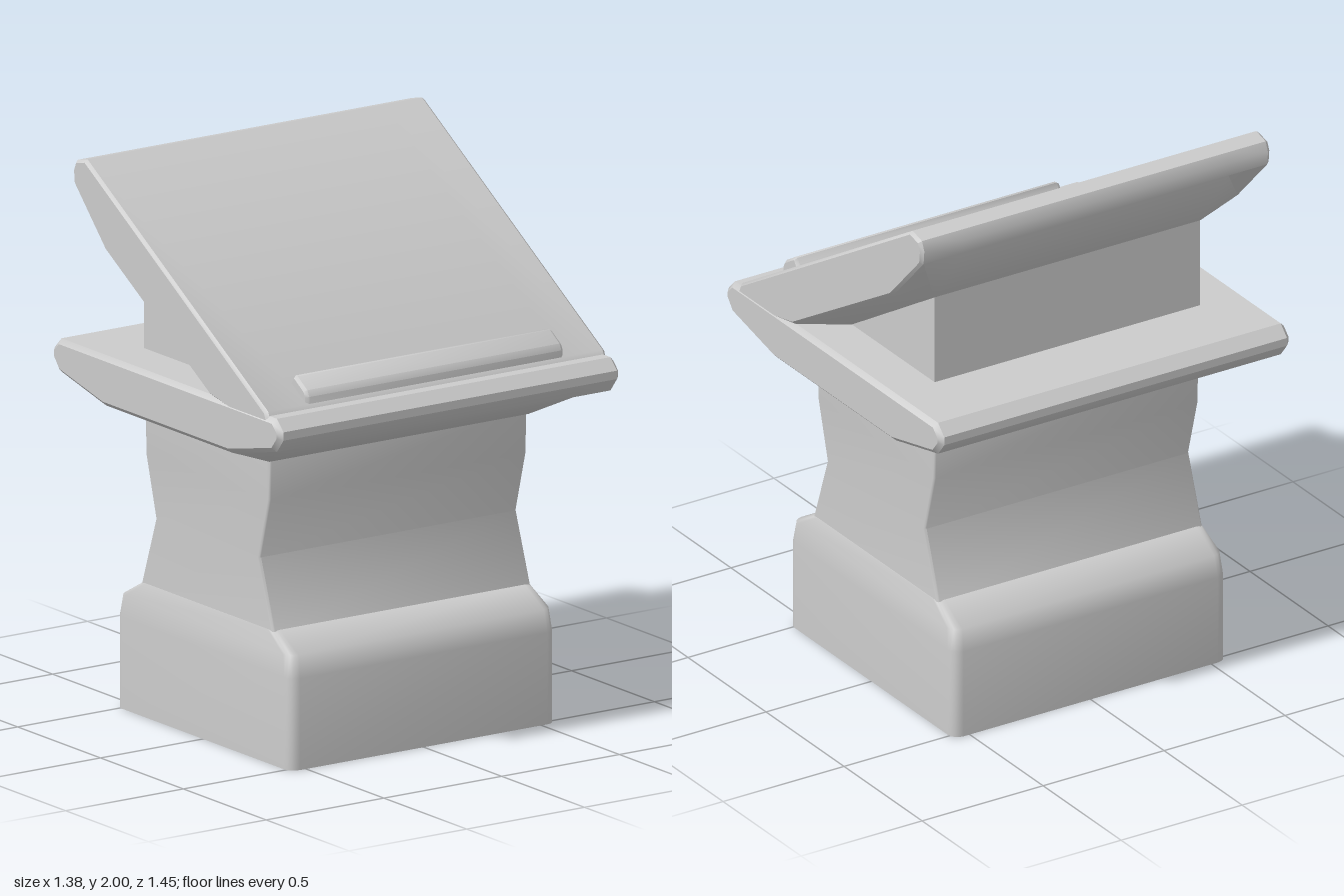
import * as THREE from 'three';
import { toCreasedNormals } from 'three/addons/utils/BufferGeometryUtils.js';

const material = new THREE.MeshStandardMaterial({ color: 0xcccccc });

// Skin a stack of counter-clockwise [x, y] outlines along z, closed by flat caps
function loft(sections) {
  const n = sections[0].points.length, last = sections.length - 1;
  const positions = [], index = [];
  for (const { z, points } of sections) for (const [x, y] of points) positions.push(x, y, z);
  for (let s = 0; s < last; s++) {
    for (let i = 0; i < n; i++) {
      const a = s * n + i, b = s * n + (i + 1) % n;
      index.push(a, b, b + n, a, b + n, a + n);
    }
  }
  for (let i = 1; i < n - 1; i++) {
    index.push(0, i + 1, i, last * n, last * n + i, last * n + i + 1);
  }
  const geometry = new THREE.BufferGeometry();
  geometry.setAttribute('position', new THREE.Float32BufferAttribute(positions, 3));
  geometry.setIndex(index);
  return geometry;
}

// Move every edge of a convex outline inwards by d
function inset(points, d) {
  const n = points.length;
  const normal = (p, q) => new THREE.Vector2(p[1] - q[1], q[0] - p[0]).normalize();
  return points.map((p, i) => {
    const a = normal(points[(i + n - 1) % n], p), b = normal(p, points[(i + 1) % n]);
    const m = a.clone().add(b).multiplyScalar(d / (1 + a.dot(b)));
    return [p[0] + m.x, p[1] + m.y];
  });
}

// Mirror half a stack of sections to the other side of z = 0
const bothEnds = half => [
  ...half.map(s => ({ z: -s.z, points: s.points })).reverse(), ...half];

const mirrorX = half => [...half, ...half.map(([x, y]) => [-x, y]).reverse()];

function roundedRect(hx, hz, r, steps = 4) {
  const points = [];
  [[1, 1], [-1, 1], [-1, -1], [1, -1]].forEach(([sx, sz], corner) => {
    for (let i = 0; i <= steps; i++) {
      const a = (corner + i / steps) * Math.PI / 2;
      points.push([sx * (hx - r) + r * Math.cos(a), sz * (hz - r) + r * Math.sin(a)]);
    }
  });
  return points;
}

// Upright body from rows of [y, half width, half depth, corner radius]
const column = rows => loft(rows.map(([y, hx, hz, r]) =>
  ({ z: y, points: roundedRect(hx, hz, r) }))).rotateX(-Math.PI / 2);

export function createModel() {
  const model = new THREE.Group();
  model.name = 'lectern';
  const add = (name, geometry, crease = 0.65) => {
    const mesh = new THREE.Mesh(toCreasedNormals(geometry, crease), material);
    mesh.name = name;
    model.add(mesh);
  };

  // Plinth with sloping shoulders
  add('plinth', column([
    [0, 0.53, 0.565, 0.04], [0.33, 0.53, 0.565, 0.04],
    [0.41, 0.515, 0.56, 0.04], [0.475, 0.4, 0.55, 0.03]]), 0.95);

  // Waisted neck
  add('neck', column([
    [0.46, 0.405, 0.548, 0.015], [0.72, 0.315, 0.548, 0.015],
    [0.94, 0.375, 0.548, 0.015], [1.1, 0.38, 0.548, 0.015]]));

  // Table with a tapered underside and bevelled rim
  const rim = [[0.65, 1.2], [0.69, 1.25], [0.69, 1.28], [0.65, 1.32]];
  const tableMid = mirrorX([[0.38, 1.08], ...rim]);
  const tableEdge = mirrorX([[0.38, 1.138], ...rim]);
  add('table', loft(bothEnds([
    { z: 0.55, points: tableMid },
    { z: 0.708, points: tableEdge },
    { z: 0.725, points: inset(tableEdge, 0.017) }])));

  // Wedge-shaped support between table and desk
  const wedge = [[-0.38, 1.25], [0.27, 1.25], [0.27, 1.3], [-0.38, 1.7]];
  add('deskSupport', loft(bothEnds([{ z: 0.548, points: wedge }])));

  // Sloping reading desk with a tapered underside
  const deskTop = [[0.6, 1.27], [0.615, 1.3], [0.6, 1.335],
    [-0.49, 2], [-0.55, 1.985], [-0.565, 1.95], [-0.56, 1.9]];
  const deskMid = [[-0.38, 1.65], [0.15, 1.32], [0.3, 1.235], ...deskTop];
  const deskEdge = [[-0.37, 1.7], [0.26, 1.32], [0.46, 1.28], ...deskTop];
  add('readingDesk', loft(bothEnds([
    { z: 0.55, points: deskMid },
    { z: 0.71, points: deskEdge },
    { z: 0.722, points: inset(deskEdge, 0.01) }])));

  // Ledge that stops a book sliding down
  const ledge = [[0.48, 1.37], [0.6, 1.3], [0.6, 1.36], [0.588, 1.382],
    [0.53, 1.419], [0.518, 1.42], [0.505, 1.4]];
  add('bookLedge', loft(bothEnds([
    { z: 0.535, points: ledge },
    { z: 0.547, points: inset(ledge, 0.009) }])));

  return model;
}
